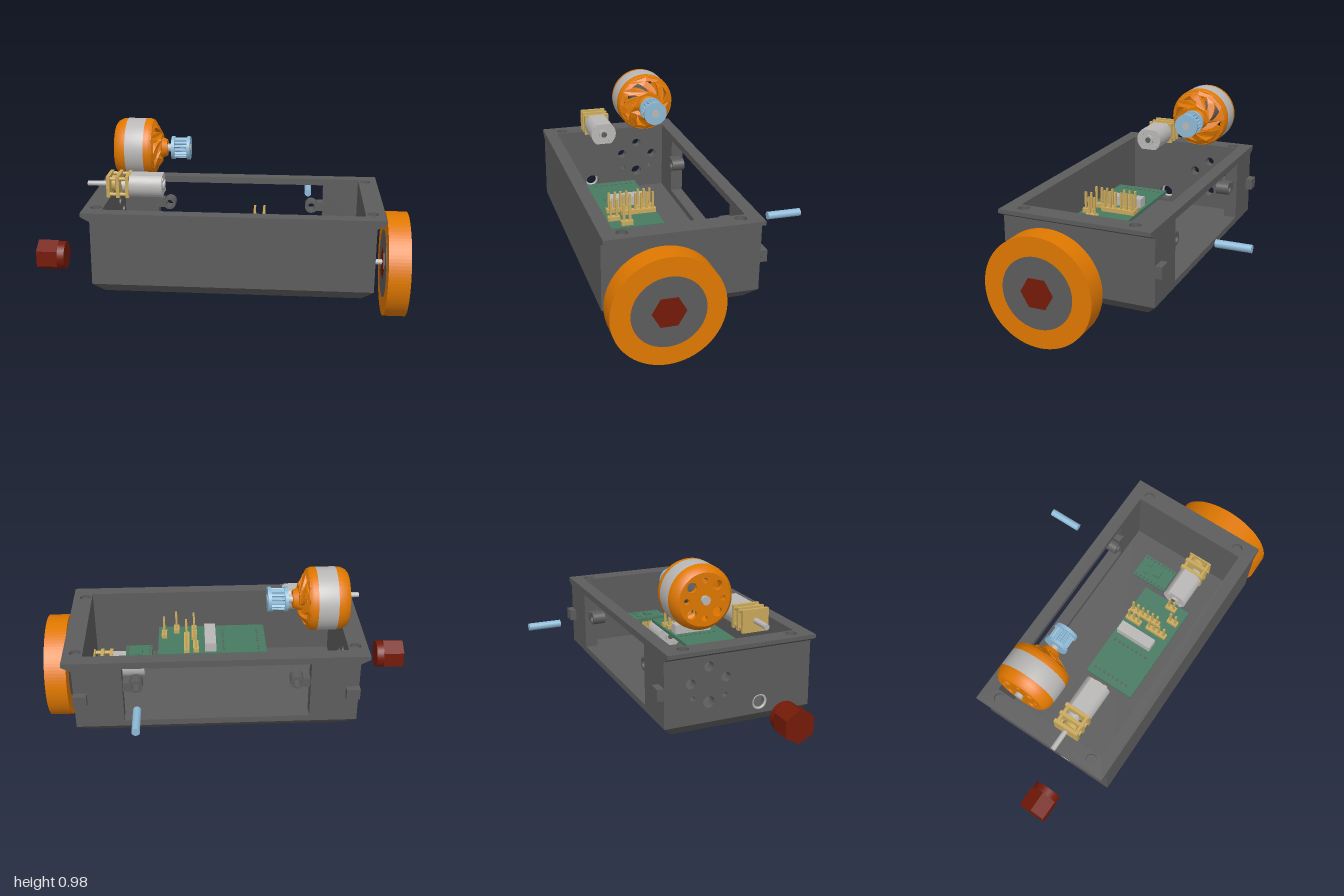
import * as THREE from 'three';

const mat = (name, color, side = THREE.FrontSide) => {
  const m = new THREE.MeshStandardMaterial({ color, side });
  m.name = name;
  return m;
};
const dark = mat('darkGrey', 0x5c5c5c), orange = mat('orange', 0xe07800, THREE.DoubleSide);
const silver = mat('lightGrey', 0xb9b8b6), blue = mat('paleBlue', 0x8db9d6), red = mat('darkRed', 0x741a08);
const green = mat('boardGreen', 0x487a62), gold = mat('gold', 0xc9a95c);

function add(parent, name, geo, material, x = 0, y = 0, z = 0) {
  const m = new THREE.Mesh(geo, material);
  m.name = name;
  m.position.set(x, y, z);
  parent.add(m);
  return m;
}
function sub(parent, name, x = 0, y = 0, z = 0, ry = 0) {
  const g = new THREE.Group();
  g.name = name;
  g.position.set(x, y, z);
  g.rotation.y = ry;
  parent.add(g);
  return g;
}
const box = (w, h, d) => new THREE.BoxGeometry(w, h, d);
// cylinder along z
const rod = (r, len, seg = 32, r2 = r) => new THREE.CylinderGeometry(r, r2, len, seg).rotateX(Math.PI / 2);
// flat-faced hexagonal prism along z
function hex(r, len, start) {
  const g = new THREE.CylinderGeometry(r, r, len, 6, 1, false, start).rotateX(Math.PI / 2).toNonIndexed();
  g.computeVertexNormals();
  return g;
}
const lathe = (pts) =>
  new THREE.LatheGeometry(pts.map(p => new THREE.Vector2(...p)), 48).rotateX(Math.PI / 2);
const extrude = (shape, depth, curveSegments = 24) =>
  new THREE.ExtrudeGeometry(shape, { depth, bevelEnabled: false, curveSegments });
const rect = (C, x0, y0, x1, y1) => {
  const s = new C();
  s.moveTo(x0, y0); s.lineTo(x1, y0); s.lineTo(x1, y1); s.lineTo(x0, y1); s.closePath();
  return s;
};
const circle = (C, x, y, r) => new C().absarc(x, y, r, 0, Math.PI * 2, false);
// box whose underside is drawn in by cx, cz
function tapered(w, h, d, cx, cz) {
  const g = box(w, h, d), p = g.attributes.position;
  for (let i = 0; i < p.count; i++) if (p.getY(i) < 0) {
    p.setX(i, p.getX(i) - Math.sign(p.getX(i)) * cx);
    p.setZ(i, p.getZ(i) - Math.sign(p.getZ(i)) * cz);
  }
  g.computeVertexNormals();
  return g;
}

function buildCase(root) {
  const g = sub(root, 'case'), L = 0.723, D = 0.39;
  add(g, 'base', tapered(2 * L, 0.057, 2 * D, 0.056, 0.056), dark, 0, 0.1935, 0);
  add(g, 'frontWall', box(2 * L, 0.364, 0.068), dark, 0, 0.404, D - 0.034);
  // back wall with its large window
  const back = rect(THREE.Shape, -L, 0.222, L, 0.586);
  back.holes.push(rect(THREE.Path, -0.475, 0.255, 0.475, 0.57));
  add(g, 'backWall', extrude(back, 0.068), dark, 0, 0, -D);
  // end walls: axle hole, and the motor mount pattern on the right-hand one
  for (const s of [-1, 1]) {
    const w = rect(THREE.Shape, -0.322, 0.222, 0.322, 0.586);
    w.holes.push(circle(THREE.Path, -0.115, 0.28, 0.04));
    if (s < 0) {
      w.holes.push(circle(THREE.Path, 0.16, 0.325, 0.03), circle(THREE.Path, 0.16, 0.505, 0.025),
        circle(THREE.Path, 0.07, 0.44, 0.025), circle(THREE.Path, 0.255, 0.43, 0.025),
        circle(THREE.Path, 0.075, 0.35, 0.013), circle(THREE.Path, 0.245, 0.355, 0.013));
    }
    const m = add(g, 'endWall', extrude(w, 0.053), dark, s < 0 ? -L : L - 0.053, 0, 0);
    m.rotation.y = Math.PI / 2;
    add(sub(g, 'axleBush', s * 0.715, 0.28, 0.115, Math.PI / 2), 'bushRing',
      new THREE.TorusGeometry(0.036, 0.007, 8, 32), silver);
    // sloped lip under the rim, clip tab and dowel boss
    add(g, 'lip', tapered(0.1, 0.025, 2 * D, 0.048, 0), dark, s * 0.721, 0.5735, 0);
    add(g, 'clipTab', box(0.07, 0.06, 0.035), dark, s * 0.69, 0.4, -D - 0.017);
    const boss = circle(THREE.Shape, 0, 0, 0.035);
    boss.holes.push(circle(THREE.Path, 0, 0, 0.021));
    add(g, 'dowelBoss', extrude(boss, 0.07), dark, s * 0.41, 0.445, -0.37);
    add(g, 'bossArm', box(0.045, 0.05, 0.06), dark, s * 0.462, 0.445, -0.34);
  }
  // flat rim with four screw holes
  const rim = rect(THREE.Shape, -0.771, -D, 0.771, D);
  rim.holes.push(rect(THREE.Path, -0.67, -0.322, 0.67, 0.322));
  for (const x of [-0.708, 0.708]) for (const z of [-0.287, 0.287])
    rim.holes.push(circle(THREE.Path, x, z, 0.029));
  add(g, 'rim', extrude(rim, 0.02).rotateX(-Math.PI / 2), dark, 0, 0.586, 0);
}

function buildWheel(root) {
  const g = sub(root, 'wheel', 0.848, 0.278, 0.118, Math.PI / 2);
  const tyre = circle(THREE.Shape, 0, 0, 0.278);
  tyre.holes.push(circle(THREE.Path, 0, 0, 0.178));
  add(g, 'tyre', extrude(tyre, 0.114, 48), orange, 0, 0, -0.057);
  add(g, 'wheelDisc', rod(0.181, 0.118, 64), dark);
  add(g, 'hexInsert', hex(0.084, 0.124, Math.PI / 6), red);
  // loose hub on the other side
  const h = sub(root, 'looseHub', -0.99, 0.28, 0.14, Math.PI / 2);
  add(h, 'hexHub', hex(0.085, 0.11, 0), red, 0, 0, -0.02);
  add(h, 'hubCollar', rod(0.074, 0.04), red, 0, 0, 0.054);
}

function buildMainMotor(root) {
  const g = sub(root, 'mainMotor', -0.557, 0.817, -0.158, Math.PI / 2);
  add(g, 'ring', lathe([[0.15, -0.05], [0.16, -0.05], [0.16, 0.05], [0.15, 0.05]]), silver);
  add(g, 'innerSleeve', lathe([[0.149, -0.05], [0.149, 0.05]]), orange);
  add(g, 'stator', rod(0.06, 0.17), dark);
  // rear cap
  add(g, 'rearSkirt', lathe([[0.13, -0.112], [0.145, -0.1], [0.157, -0.075], [0.16, -0.05]]), orange);
  const cap = circle(THREE.Shape, 0, 0, 0.13);
  for (let i = 0; i < 8; i++) {
    const a = i * Math.PI / 4;
    cap.holes.push(circle(THREE.Path, 0.092 * Math.cos(a), 0.092 * Math.sin(a), i % 2 ? 0.024 : 0.014));
  }
  add(g, 'rearCap', extrude(cap, 0.02), orange, 0, 0, -0.112);
  // swirled front bell: flat disc with curved slots, raised toward the middle
  add(g, 'bellRim', lathe([[0.16, 0.05], [0.16, 0.072], [0.153, 0.09], [0.149, 0.092]]), orange);
  const bell = circle(THREE.Shape, 0, 0, 0.153);
  for (let i = 0; i < 8; i++) {
    const pts = [], edge = (k, w) => {
      const r = 0.078 + 0.056 * k, a = i * Math.PI / 4 + 0.6 * k + w * (0.06 + 0.14 * k);
      pts.push(new THREE.Vector2(r * Math.cos(a), r * Math.sin(a)));
    };
    for (let k = 0; k <= 5; k++) edge(k / 5, -1);
    for (let k = 5; k >= 0; k--) edge(k / 5, 1);
    bell.holes.push(new THREE.Path(pts));
  }
  const bg = extrude(bell, 0.02), p = bg.attributes.position;
  for (let i = 0; i < p.count; i++)
    p.setZ(i, p.getZ(i) + (0.153 - Math.hypot(p.getX(i), p.getY(i))) * 0.6);
  bg.computeVertexNormals();
  add(g, 'bellSpokes', bg, orange, 0, 0, 0.072);
  add(g, 'bellHub', rod(0.045, 0.05, 32, 0.066), orange, 0, 0, 0.14);
  add(g, 'shaft', rod(0.022, 0.425), silver, 0, 0, 0.083);
  // toothed pulley
  const teeth = [];
  for (let i = 0; i < 64; i++) {
    const a = i * Math.PI / 32, r = i % 4 < 2 ? 0.056 : 0.046;
    teeth.push(new THREE.Vector2(r * Math.cos(a), r * Math.sin(a)));
  }
  add(g, 'pulleyTeeth', extrude(new THREE.Shape(teeth), 0.09), blue, 0, 0, 0.19);
  for (const z of [0.198, 0.283]) add(g, 'pulleyFlange', rod(0.064, 0.018), blue, 0, 0, z);
}

function buildGearMotor(root, x, y, z, ry) {
  const g = sub(root, 'gearMotor', x, y, z, ry);
  add(g, 'outputShaft', rod(0.014, 0.22, 20), silver);
  // flat-sided can
  const a = 0.964, can = new THREE.Shape();
  can.absarc(0, 0, 0.07, -a, a, false);
  can.absarc(0, 0, 0.07, Math.PI - a, Math.PI + a, false);
  can.closePath();
  add(g, 'motorCan', extrude(can, 0.173), silver, 0, 0, -0.293);
  add(g, 'endBoss', rod(0.028, 0.012), silver, 0, 0, -0.298);
  add(g, 'bossRecess', rod(0.016, 0.002), dark, 0, 0, -0.305);
  for (const s of [-1, 1]) add(g, 'endStud', rod(0.012, 0.008, 20), silver, s * 0.04, s * 0.036, -0.296);
  // gearbox plates, posts and gears
  for (const pz of [-0.11, -0.06, -0.01]) add(g, 'gearPlate', box(0.14, 0.115, 0.018), gold, 0, 0, pz);
  for (const px of [-0.055, 0.055]) for (const py of [-0.042, 0.042])
    add(g, 'gearPost', rod(0.01, 0.1, 12), gold, px, py, -0.06);
  add(g, 'gear', rod(0.042, 0.018, 20), gold, 0.012, 0.008, -0.035);
  add(g, 'gear', rod(0.038, 0.018, 20), silver, -0.014, -0.01, -0.085);
}

function buildBoards(root) {
  const g = sub(root, 'electronics', 0, 0.42, 0);
  add(g, 'mainBoard', box(0.587, 0.018, 0.285), green, 0.011, 0, 0.102);
  add(g, 'sensorBoard', box(0.14, 0.018, 0.2), green, 0.407, 0, -0.045);
  add(g, 'connectorBlock', box(0.06, 0.05, 0.21), silver, 0.021, 0.034, 0.079);
  // pin headers: x, centre z, pin count
  for (const [x, z, n] of [[0.108, 0.155, 4], [0.1, 0.013, 3], [0.15, 0.055, 6], [0.205, 0.2, 2], [0.272, 0.148, 2]]) {
    add(g, 'headerBase', box(0.03, 0.022, n * 0.031), gold, x, 0.02, z);
    for (let i = 0; i < n; i++)
      add(g, 'headerPin', box(0.011, 0.14, 0.011), gold, x, 0.05, z + (i - (n - 1) / 2) * 0.031);
  }
  // solder pads and small chips
  for (let i = 0; i < 8; i++) {
    for (const x of [-0.24, -0.05]) add(g, 'pad', box(0.011, 0.004, 0.011), dark, x, 0.009, -0.01 + i * 0.028);
    for (const x of [0.348, 0.466]) add(g, 'pad', box(0.01, 0.004, 0.01), dark, x, 0.009, -0.13 + i * 0.024);
  }
  add(g, 'sensorChip', box(0.04, 0.012, 0.04), green, 0.407, 0.014, -0.03);
  for (const s of [-1, 1]) add(g, 'smallChip', box(0.02, 0.01, 0.025), green, 0.407 + s * 0.025, 0.012, -0.095);
}

export function createModel() {
  const model = new THREE.Group();
  model.name = 'robotKit';
  const root = sub(model, 'turnedAssembly', 0.084, 0, -0.005, -0.274);
  buildCase(root);
  buildWheel(root);
  buildMainMotor(root);
  buildGearMotor(root, -0.675, 0.683, 0.11, -Math.PI / 2);
  buildGearMotor(root, 0.682, 0.28, 0.105, Math.PI / 2);
  buildBoards(root);
  add(root, 'dowel', rod(0.02, 0.178, 24), blue, 0.394, 0.446, -0.652);
  return model;
}
